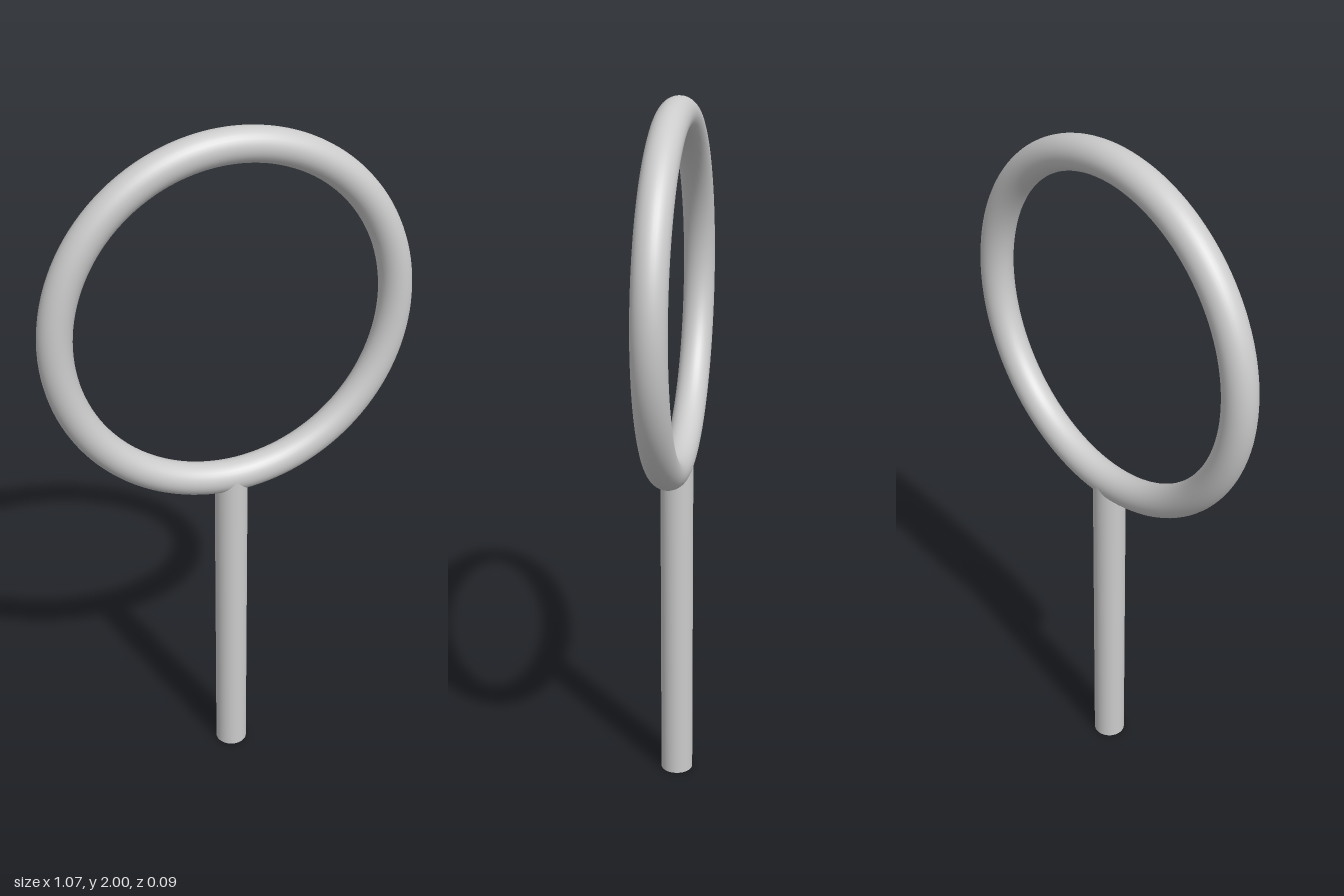
import * as THREE from 'three';

const TUBE = 0.047;        // shared thickness (radius) of ring and handle
const RING = 0.486;        // ring centre-line radius
const RING_Y = 2 - RING - TUBE;

export function createModel() {
  const model = new THREE.Group();
  model.name = 'ringOnHandle';
  const material = new THREE.MeshStandardMaterial({ color: 0xcccccc });

  // Upright hoop facing the front
  const ring = new THREE.Mesh(new THREE.TorusGeometry(RING, TUBE, 32, 128), material);
  ring.name = 'ring';
  ring.position.y = RING_Y;
  model.add(ring);

  // Straight round handle, its top buried at the hoop's centre line
  const height = RING_Y - RING;
  const handle = new THREE.Mesh(new THREE.CylinderGeometry(TUBE, TUBE, height, 48), material);
  handle.name = 'handle';
  handle.position.y = height / 2;
  model.add(handle);

  return model;
}
